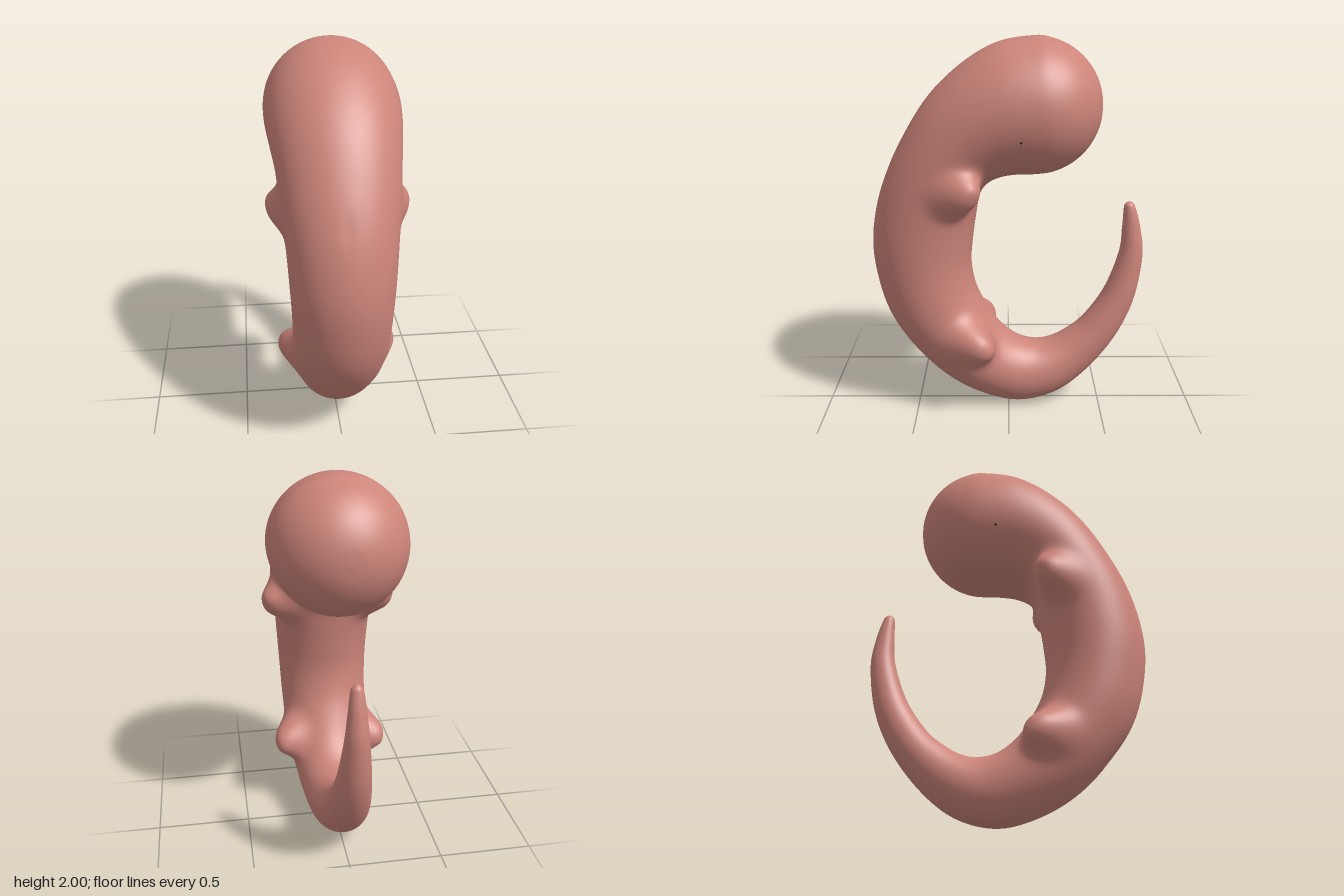
import * as THREE from 'three';
import { mergeVertices } from 'three/addons/utils/BufferGeometryUtils.js';

const skin = new THREE.MeshStandardMaterial({ color: 0xcd857a });
skin.name = 'skin';
const dark = new THREE.MeshStandardMaterial({ color: 0x4a2a28 });
dark.name = 'dark eye';

// Cross-sections from head to tail: outer z, outer y, inner z, inner y, half width
const sections = [
  [0.06, 1.967, -0.04, 1.298, 0.345],
  [0.245, 1.86, 0.04, 1.285, 0.33],
  [0.42, 1.69, 0.11, 1.25, 0.308],
  [0.57, 1.45, 0.15, 1.19, 0.29],
  [0.67, 1.22, 0.17, 1.09, 0.275],
  [0.72, 0.97, 0.19, 0.95, 0.262],
  [0.705, 0.75, 0.2, 0.81, 0.252],
  [0.64, 0.53, 0.175, 0.67, 0.245],
  [0.51, 0.33, 0.115, 0.545, 0.235],
  [0.34, 0.16, 0.04, 0.44, 0.212],
  [0.15, 0.05, -0.05, 0.37, 0.19],
  [-0.05, 0.0, -0.14, 0.347, 0.168],
  [-0.25, 0.045, -0.22, 0.358, 0.15],
  [-0.42, 0.17, -0.31, 0.405, 0.128],
  [-0.58, 0.37, -0.41, 0.49, 0.108],
  [-0.68, 0.59, -0.52, 0.655, 0.086],
  [-0.72, 0.84, -0.592, 0.86, 0.062],
  [-0.702, 1.0, -0.605, 1.0, 0.046],
  [-0.672, 1.11, -0.61, 1.11, 0.032],
  [-0.658, 1.135, -0.62, 1.135, 0.019],
  [-0.64, 1.146, -0.64, 1.146, 0],
];

// Round head cap in front of the first section
const head = [];
for (let i = 0; i <= 6; i++) {
  const a = (i / 6) * Math.PI / 2, r = 0.35;
  const z = -0.13 - r * Math.cos(a), h = r * Math.sin(a);
  head.push([z, 1.65 + h, z, 1.65 - h, h * 0.99]);
}

// Limb buds swell out of the body sideways and towards the belly
const buds = [
  { at: new THREE.Vector3(0.235, 1.24, 0.27), height: 0.125, radius: 0.105 },
  { at: new THREE.Vector3(0.21, 0.42, 0.2), height: 0.125, radius: 0.105 },
];
const budDirection = new THREE.Vector3(0.77, 0, -0.64).normalize();

function swellBuds(p) {
  const side = p.x < 0 ? -1 : 1;
  const q = new THREE.Vector3(Math.abs(p.x), p.y, p.z);
  let push = 0;
  for (const { at, height, radius } of buds) {
    const d = q.clone().sub(at).cross(budDirection).length();
    push += height * Math.exp(-Math.pow(d / radius, 3));
  }
  p.x += side * push * budDirection.x;
  p.z += push * budDirection.z;
  return p;
}

function bodyGeometry(rows = 260, cols = 96) {
  const all = [...head, ...sections];
  const curve = (f) => new THREE.CatmullRomCurve3(all.map(f), false, 'catmullrom', 0.5);
  const outer = curve((s) => new THREE.Vector3(s[4], s[1], s[0]));
  const inner = curve((s) => new THREE.Vector3(0, s[3], s[2]));
  const positions = [], index = [];
  for (let i = 0; i <= rows; i++) {
    const o = outer.getPoint(i / rows), n = inner.getPoint(i / rows);
    const width = Math.max(o.x, 0);
    for (let j = 0; j < cols; j++) {
      const a = (j / cols) * Math.PI * 2;
      const k = (1 + Math.cos(a)) / 2;
      const p = new THREE.Vector3(
        width * Math.sin(a),
        n.y + (o.y - n.y) * k,
        n.z + (o.z - n.z) * k
      );
      swellBuds(p);
      positions.push(p.x, p.y, p.z);
      if (i < rows) {
        const b = i * cols + j, c = i * cols + ((j + 1) % cols);
        index.push(b, b + cols, c, c, b + cols, c + cols);
      }
    }
  }
  const g = new THREE.BufferGeometry();
  g.setAttribute('position', new THREE.Float32BufferAttribute(positions, 3));
  g.setIndex(index);
  const merged = mergeVertices(g, 1e-5);
  merged.computeVertexNormals();
  return merged;
}

export function createModel() {
  const group = new THREE.Group();
  group.name = 'embryo';

  // Head, curled body, limb buds and tail in one smooth skin
  const body = new THREE.Mesh(bodyGeometry(), skin);
  body.name = 'body';
  group.add(body);

  // Tiny eye specks, almost sunk into the head
  for (const side of [-1, 1]) {
    const eye = new THREE.Mesh(new THREE.SphereGeometry(0.011, 16, 12), dark);
    eye.name = side > 0 ? 'leftEye' : 'rightEye';
    eye.position.set(side * 0.315, 1.52, -0.058);
    group.add(eye);
  }
  return group;
}
